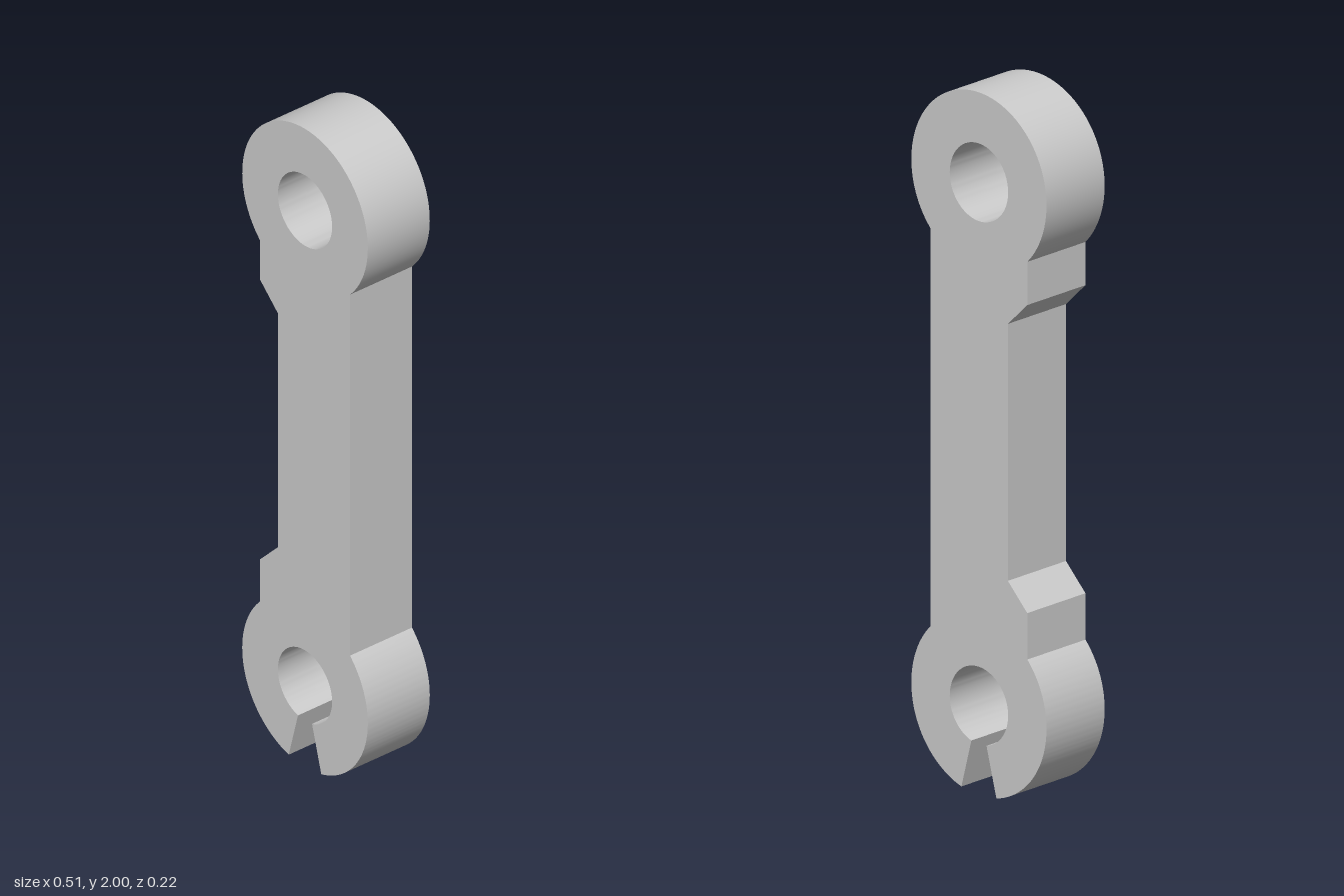
import * as THREE from 'three';
import { toCreasedNormals } from 'three/addons/utils/BufferGeometryUtils.js';

const R = 0.257, HOLE = 0.111;          // eye radii
const TOP = 1.743, BOTTOM = 0.248;      // eye centres
const HALF = 0.184, WAIST = -0.11;      // bar edges
const DEPTH = 0.22;
const JOIN = Math.acos(HALF / R);       // where the bar meets the eyes
const SLOT = Math.PI / 12;              // half angle of the slot

export function createModel() {
  const group = new THREE.Group();
  group.name = 'link';

  // outline: slotted lower eye, straight right edge, upper eye, relieved left edge
  const s = new THREE.Shape();
  s.absarc(0, BOTTOM, R, -Math.PI / 2 + SLOT, JOIN, false);
  s.absarc(0, TOP, R, -JOIN, Math.PI + JOIN, false);
  s.lineTo(-HALF, 1.44);
  s.lineTo(WAIST, 1.367);
  s.lineTo(WAIST, 0.633);
  s.lineTo(-HALF, 0.56);
  s.absarc(0, BOTTOM, R, Math.PI - JOIN, 1.5 * Math.PI - SLOT, false);
  // bore of the lower eye, open through the slot
  s.absarc(0, BOTTOM, HOLE, 1.5 * Math.PI - SLOT, -Math.PI / 2 + SLOT, true);
  s.closePath();

  // bore of the upper eye
  const hole = new THREE.Path();
  hole.absarc(0, TOP, HOLE, 0, Math.PI * 2, true);
  s.holes.push(hole);

  const geo = new THREE.ExtrudeGeometry(s, { depth: DEPTH, bevelEnabled: false, curveSegments: 40 });
  geo.translate(0, 0, -DEPTH / 2);
  const body = new THREE.Mesh(toCreasedNormals(geo, 0.4), new THREE.MeshStandardMaterial({ color: 0xcccccc }));
  body.name = 'linkBody';
  group.add(body);
  return group;
}
